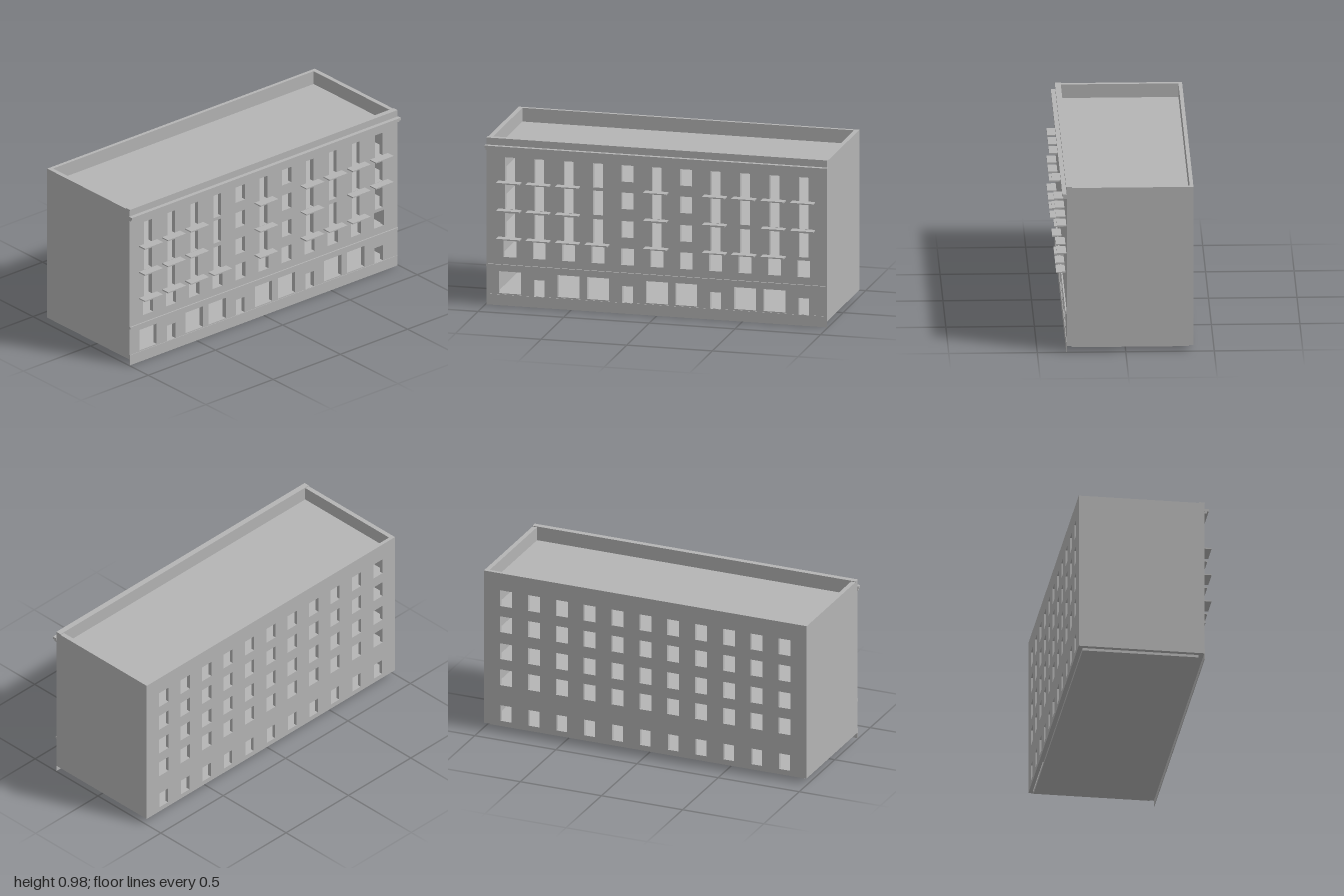
import * as THREE from 'three';

export function createModel() {
  const model = new THREE.Group();
  model.name = 'apartmentBlock';
  const plaster = new THREE.MeshStandardMaterial({ color: 0xb4b4b4 });
  plaster.name = 'grey plaster';

  const add = (geometry, name) => {
    const mesh = new THREE.Mesh(geometry, plaster);
    mesh.name = name;
    model.add(mesh);
    return mesh;
  };
  // Box given by its lower and upper bounds on each axis
  const box = (name, x0, x1, y0, y1, z0, z1) =>
    add(new THREE.BoxGeometry(x1 - x0, y1 - y0, z1 - z0), name)
      .position.set((x0 + x1) / 2, (y0 + y1) / 2, (z0 + z1) / 2);

  const W = 0.995, IN = 0.968;            // outer and inner half width
  const BASE = 0.035, TOP = 0.97;         // wall bottom and top
  const FRONT = 0.333, FRONT_IN = 0.305;  // front wall faces
  const BACK = -0.383, BACK_IN = -0.362;  // back wall faces
  const columns = Array.from({ length: 11 }, (_, i) => (i - 5) * 0.1716);

  // Wall slab pierced by windows [x, width, y0, y1]
  const wall = (name, windows, z0, z1) => {
    const shape = new THREE.Shape([
      new THREE.Vector2(-W, BASE), new THREE.Vector2(W, BASE),
      new THREE.Vector2(W, TOP), new THREE.Vector2(-W, TOP),
    ]);
    for (const [x, w, y0, y1] of windows) {
      shape.holes.push(new THREE.Path([
        new THREE.Vector2(x - w / 2, y0), new THREE.Vector2(x - w / 2, y1),
        new THREE.Vector2(x + w / 2, y1), new THREE.Vector2(x + w / 2, y0),
      ]));
    }
    const geometry = new THREE.ExtrudeGeometry(shape, { depth: z1 - z0, bevelEnabled: false });
    add(geometry, name).position.z = z0;
  };

  // Front wall: shops, first floor windows, then tall balcony doors
  const storeyTops = [0.54, 0.706, 0.866];
  const frontWindows = [];
  columns.forEach((x, i) => {
    const small = i % 3 === 1;
    frontWindows.push(small ? [x, 0.063, 0.064, 0.16] : [x, 0.128, 0.07, 0.198]);
    frontWindows.push([x, 0.075, 0.283, 0.38]);
    const plain = i === 4 || i === 6;
    for (const top of storeyTops) {
      frontWindows.push(plain ? [x, 0.07, top - 0.096, top] : [x, 0.057, top - 0.141, top]);
    }
  });
  wall('frontWall', frontWindows, FRONT_IN, FRONT);

  // Back wall: five regular rows
  const backWindows = [];
  for (const x of columns) {
    backWindows.push([x, 0.066, 0.064, 0.16]);
    for (const top of [0.38, ...storeyTops]) backWindows.push([x, 0.074, top - 0.097, top]);
  }
  wall('backWall', backWindows, BACK, BACK_IN);

  // End walls
  box('leftWall', IN, W, BASE, TOP, BACK_IN, FRONT_IN);
  box('rightWall', -W, -IN, BASE, TOP, BACK_IN, FRONT_IN);

  // Ground slab, storey floors and roof deck
  box('groundSlab', -IN, IN, 0.02, 0.037, -0.357, FRONT_IN);
  for (const y of [0.235, 0.396, 0.56, 0.72]) {
    box('floor', -IN, IN, y - 0.012, y, BACK_IN, FRONT_IN);
  }
  box('roofDeck', -IN, IN, 0.875, 0.89, BACK_IN, FRONT_IN);

  // Front trim
  box('plinth', -W, W, 0, 0.063, FRONT, 0.336);
  box('stringCourse', -W, W, 0.225, 0.239, FRONT, 0.341);
  box('lowerCornice', -0.997, 0.997, 0.906, 0.918, FRONT, 0.348);
  box('upperCornice', -1, 1, 0.918, 0.933, FRONT, 0.358);
  box('parapetCap', -W, W, 0.969, 0.975, 0.303, 0.336);

  // Balcony plates per storey, by window column
  const balconies = [
    [0.393, [0, 1, 2, 3, 5, 7, 8, 9]],
    [0.557, [0, 1, 2, 5, 7, 9, 10]],
    [0.72, [0, 1, 2, 5, 7, 8, 9, 10]],
  ];
  for (const [y, cols] of balconies) {
    for (const i of cols) {
      const x = columns[i];
      box('balcony', x - 0.067, x + 0.067, y, y + 0.007, FRONT, 0.385);
    }
  }
  return model;
}
